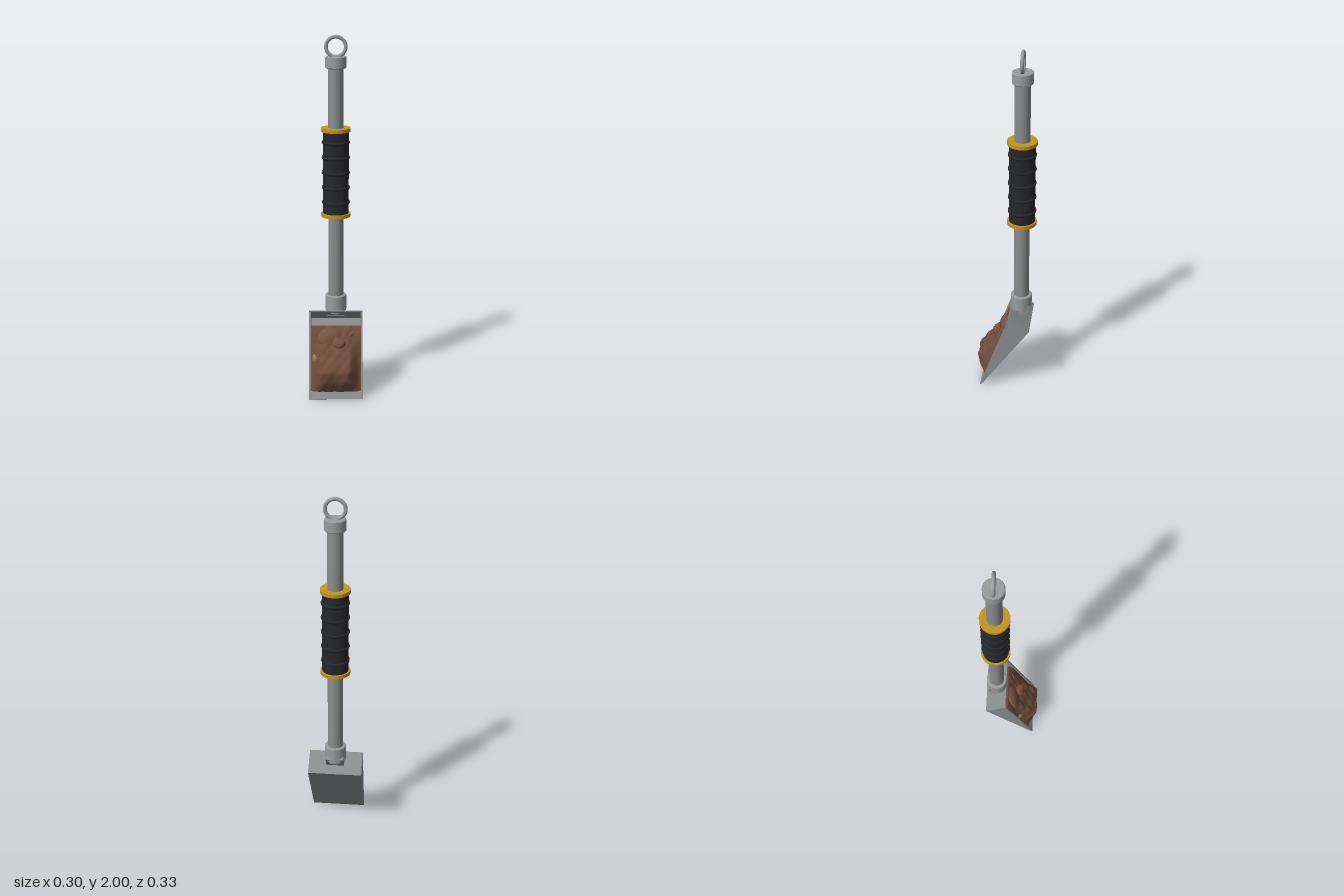
import * as THREE from 'three';
import { mergeVertices } from 'three/addons/utils/BufferGeometryUtils.js';

const mat = (name, color, extra = {}) => Object.assign(new THREE.MeshStandardMaterial({ color, ...extra }), { name });

export function createModel() {
  const model = new THREE.Group();
  model.name = 'shovel';
  const steel = mat('steel', 0x8a8c8e);
  const brightSteel = mat('collarSteel', 0x999b9d);
  const rubber = mat('gripRubber', 0x26262e);
  const brass = mat('brass', 0xc4951f);
  const soil = mat('soil', 0x6e4c3a, { side: THREE.DoubleSide });
  const clod = mat('clod', 0x77523f);
  const pebble = mat('pebble', 0x86817b);

  const add = (parent, name, geometry, material, x = 0, y = 0, z = 0) => {
    const m = new THREE.Mesh(geometry, material);
    m.name = name;
    m.position.set(x, y, z);
    parent.add(m);
    return m;
  };

  // Handle: everything turned around the shaft axis
  const handle = new THREE.Group();
  handle.name = 'handle';
  handle.position.z = -0.08;
  model.add(handle);
  const rod = (name, r, y0, y1, material) =>
    add(handle, name, new THREE.CylinderGeometry(r, r, y1 - y0, 40), material, 0, (y0 + y1) / 2);
  rod('shaft', 0.042, 0.44, 1.85, steel);
  rod('grip', 0.071, 1.01, 1.49, rubber);
  for (let i = 0; i < 5; i++) {
    const rib = add(handle, 'gripRib', new THREE.TorusGeometry(0.067, 0.0105, 10, 40), rubber, 0, 1.083 + i * 0.084);
    rib.rotation.x = Math.PI / 2;
  }
  rod('lowerGripRing', 0.081, 1.003, 1.023, brass);
  rod('upperGripRing', 0.081, 1.479, 1.499, brass);

  // Collars with a softened edge
  const collar = (name, r, y0, y1) => {
    const b = 0.004;
    const pts = [[0, y0], [r - b, y0], [r, y0 + b], [r, y1 - b], [r - b, y1], [0, y1]];
    // doubled points keep the bevels crisp
    const profile = pts.flatMap(([x, y], i) => (i && i < 5 ? [new THREE.Vector2(x, y), new THREE.Vector2(x, y)] : [new THREE.Vector2(x, y)]));
    add(handle, name, new THREE.LatheGeometry(profile, 40), brightSteel);
  };
  collar('lowerCollar', 0.059, 0.455, 0.548);
  collar('endCap', 0.057, 1.822, 1.886);
  add(handle, 'hangingRing', new THREE.TorusGeometry(0.053, 0.01, 16, 48), brightSteel, 0, 1.937);

  // Scoop, built upright (y along the blade, z out of it) and then tilted
  const scoop = new THREE.Group();
  scoop.name = 'scoop';
  scoop.position.set(0, 0, 0.136);
  scoop.rotation.x = -0.617;
  model.add(scoop);
  const LEN = 0.475, DEPTH = 0.141, HALF = 0.15, T = 0.008;
  add(scoop, 'blade', new THREE.BoxGeometry(HALF * 2, LEN, T), steel, 0, LEN / 2, T / 2);
  add(scoop, 'backWall', new THREE.BoxGeometry(HALF * 2, T, DEPTH), steel, 0, LEN - T / 2, DEPTH / 2);
  const side = new THREE.Shape([[0, 0], [T, 0], [DEPTH, LEN], [0, LEN]].map(p => new THREE.Vector2(...p)));
  for (const s of [-1, 1]) {
    const g = new THREE.ExtrudeGeometry(side, { depth: 0.01, bevelEnabled: false });
    g.rotateY(-Math.PI / 2);
    add(scoop, s > 0 ? 'leftWall' : 'rightWall', g, steel, s > 0 ? HALF : -HALF + 0.01);
  }
  add(scoop, 'bracket', new THREE.BoxGeometry(0.1, 0.085, 0.022), steel, 0, 0.506, 0.066);

  // Heaped soil: a plane raised by a ridge profile that falls to the walls
  const ridge = [[0.04, 0.008], [0.07, 0.07], [0.12, 0.118], [0.18, 0.114], [0.26, 0.106], [0.34, 0.1], [0.4, 0.096], [0.425, 0.002]];
  const ridgeAt = u => {
    for (let i = 1; i < ridge.length; i++) {
      const [a, h] = ridge[i - 1], [b, k] = ridge[i];
      if (u <= b) return h + (k - h) * THREE.MathUtils.clamp((u - a) / (b - a), 0, 1);
    }
    return 0.002;
  };
  const heap = new THREE.PlaneGeometry(0.284, 0.385, 40, 56);
  heap.translate(0, 0.2325, 0);
  const p = heap.attributes.position;
  for (let i = 0; i < p.count; i++) {
    const x = p.getX(i), u = p.getY(i);
    const top = ridgeAt(u);
    const edge = Math.min(top, (DEPTH * u) / LEN - 0.006);
    const f = THREE.MathUtils.smoothstep(0.142 - Math.abs(x), 0, 0.075);
    const bump = 0.004 * Math.sin(43 * x + 31 * u) * Math.sin(57 * u - 23 * x + 1) + 0.002 * Math.sin(120 * x + 2) * Math.sin(95 * u);
    p.setZ(i, Math.max(0.002, edge + (top - edge) * f + bump * f));
  }
  heap.computeVertexNormals();
  add(scoop, 'soilHeap', heap, soil);

  // Clods and a stone: balls with a wavy surface
  const lump = (name, material, pos, size, turn, seed) => {
    let g = new THREE.IcosahedronGeometry(1, 5);
    g.deleteAttribute('uv');
    g.deleteAttribute('normal');
    g = mergeVertices(g);
    const a = g.attributes.position, v = new THREE.Vector3();
    for (let i = 0; i < a.count; i++) {
      v.fromBufferAttribute(a, i);
      v.multiplyScalar(1 + 0.13 * Math.sin(2.6 * v.x + seed) * Math.cos(2.2 * v.y - seed) + 0.07 * Math.sin(3.5 * v.z + 2 * v.x + seed));
      a.setXYZ(i, v.x * size[0], v.y * size[1], v.z * size[2]);
    }
    g.computeVertexNormals();
    add(scoop, name, g, material, ...pos).rotation.z = turn;
  };
  lump('largeClod', clod, [-0.035, 0.338, 0.09], [0.076, 0.048, 0.026], 0.15, 1);
  lump('smallClod', clod, [0.018, 0.293, 0.116], [0.034, 0.03, 0.022], 0.2, 2.5);
  lump('sideClod', clod, [0.085, 0.345, 0.082], [0.036, 0.015, 0.02], 0.75, 4);
  lump('stone', pebble, [-0.114, 0.218, 0.062], [0.018, 0.024, 0.018], 0.4, 5.2);

  return model;
}
